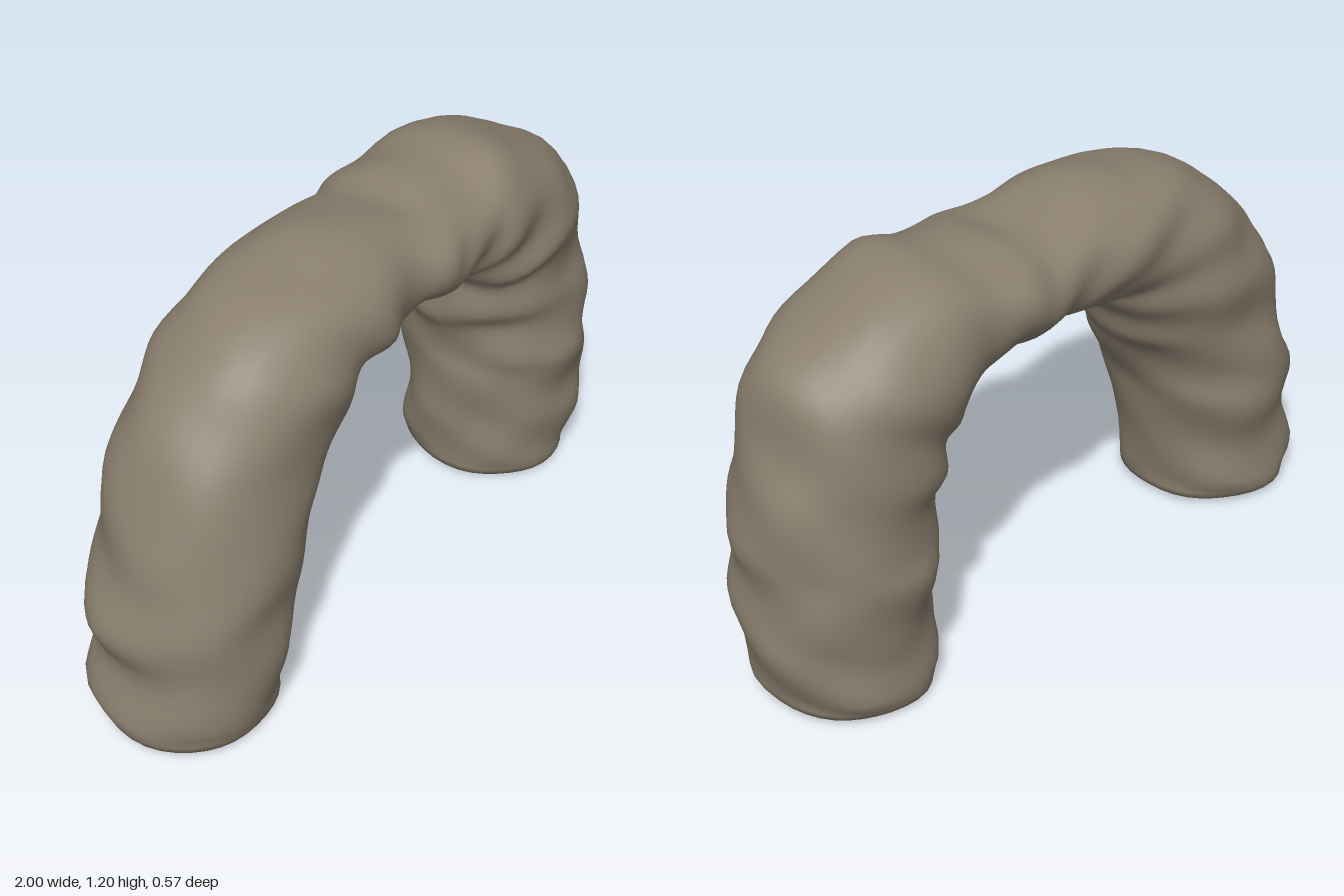
import * as THREE from 'three';

// Outer and inner edge of the arch at each station: [outerX, outerY, innerX, innerY]
const STATIONS = [
  [-0.98, 0.02, -0.51, 0.02], [-1.0, 0.09, -0.5, 0.09], [-0.965, 0.24, -0.485, 0.22],
  [-0.99, 0.36, -0.44, 0.38], [-0.94, 0.5, -0.41, 0.48], [-0.91, 0.64, -0.34, 0.6],
  [-0.84, 0.82, -0.29, 0.67], [-0.75, 0.94, -0.24, 0.75], [-0.65, 1.05, -0.19, 0.81],
  [-0.5, 1.14, -0.14, 0.835], [-0.32, 1.175, -0.08, 0.85], [-0.16, 1.195, -0.02, 0.86],
  [0, 1.175, 0.04, 0.865], [0.12, 1.155, 0.11, 0.865], [0.22, 1.17, 0.18, 0.865],
  [0.35, 1.175, 0.25, 0.86], [0.48, 1.195, 0.31, 0.83], [0.66, 1.135, 0.37, 0.79],
  [0.8, 1.05, 0.41, 0.74], [0.9, 0.965, 0.425, 0.69], [0.935, 0.8, 0.42, 0.61],
  [0.975, 0.67, 0.455, 0.55], [0.99, 0.53, 0.465, 0.45], [0.98, 0.43, 0.47, 0.38],
  [0.995, 0.3, 0.475, 0.27], [0.99, 0.2, 0.475, 0.17], [0.96, 0.08, 0.48, 0.08],
  [0.94, 0.02, 0.49, 0.01],
];
// Reach towards the front and the back at the same stations
const FRONT = [0.24, 0.25, 0.27, 0.265, 0.28, 0.265, 0.25, 0.26, 0.27, 0.25, 0.265, 0.24,
  0.23, 0.265, 0.255, 0.25, 0.275, 0.255, 0.28, 0.265, 0.255, 0.26, 0.275, 0.28,
  0.265, 0.265, 0.25, 0.24];
const BACK = [0.25, 0.265, 0.25, 0.28, 0.265, 0.255, 0.27, 0.265, 0.255, 0.24, 0.255, 0.245,
  0.235, 0.245, 0.265, 0.25, 0.25, 0.275, 0.285, 0.26, 0.27, 0.255, 0.265, 0.28,
  0.255, 0.25, 0.265, 0.25];
const STEPS = 108, SIDES = 36;

const curve = (points) => new THREE.CatmullRomCurve3(points);
const outer = curve(STATIONS.map((s) => new THREE.Vector3(s[0], s[1], 0)));
const inner = curve(STATIONS.map((s) => new THREE.Vector3(s[2], s[3], 0)));
const depths = curve(FRONT.map((f, i) => new THREE.Vector3(f, BACK[i], i)));

// Small bumps that vary around and along the arch
const lump = (a, s) =>
  0.022 * Math.sin(3 * a + 17 * s) * Math.sin(61 * s + 1.3) +
  0.014 * Math.sin(5 * a - 47 * s + 2) +
  0.014 * Math.sin(4 * a + 83 * s + 0.7);

// Slightly squared cross-section
const soft = (v) => Math.sign(v) * Math.pow(Math.abs(v), 0.93);

function archGeometry() {
  const pos = [], idx = [];

  const addRing = (s, inset, drop) => {
    const o = outer.getPoint(s), i = inner.getPoint(s), d = depths.getPoint(s);
    const c = o.clone().add(i).multiplyScalar(0.5);
    const r = o.clone().sub(c);
    for (let j = 0; j < SIDES; j++) {
      const a = (j / SIDES) * Math.PI * 2;
      const bump = inset * (1 + lump(a, s));
      const u = soft(Math.cos(a)) * bump;
      const w = soft(Math.sin(a)) * bump;
      pos.push(c.x + r.x * u, c.y + r.y * u - drop, (w > 0 ? d.x : d.y) * w);
    }
  };

  // Underside ring, body rings, underside ring
  addRing(0, 0.88, 0.012);
  for (let i = 0; i <= STEPS; i++) addRing(i / STEPS, 1, 0);
  addRing(1, 0.88, 0.008);

  const rings = STEPS + 3;
  for (let i = 0; i < rings - 1; i++) {
    for (let j = 0; j < SIDES; j++) {
      const k = (j + 1) % SIDES;
      const a = i * SIDES + j, b = i * SIDES + k;
      idx.push(a, b, a + SIDES, b, b + SIDES, a + SIDES);
    }
  }

  // Close both feet
  const first = pos.length / 3, last = first + 1, end = (rings - 1) * SIDES;
  pos.push(-0.745, 0, 0, 0.715, 0, 0);
  for (let j = 0; j < SIDES; j++) {
    const k = (j + 1) % SIDES;
    idx.push(first, k, j, last, end + j, end + k);
  }

  const g = new THREE.BufferGeometry();
  g.setAttribute('position', new THREE.Float32BufferAttribute(pos, 3));
  g.setIndex(idx);
  g.computeVertexNormals();
  return g;
}

export function createModel() {
  const stone = new THREE.MeshStandardMaterial({ color: 0x8a7f6e });
  stone.name = 'stone';
  const group = new THREE.Group();
  group.name = 'rockArch';
  const arch = new THREE.Mesh(archGeometry(), stone);
  arch.name = 'arch';
  group.add(arch);
  return group;
}
